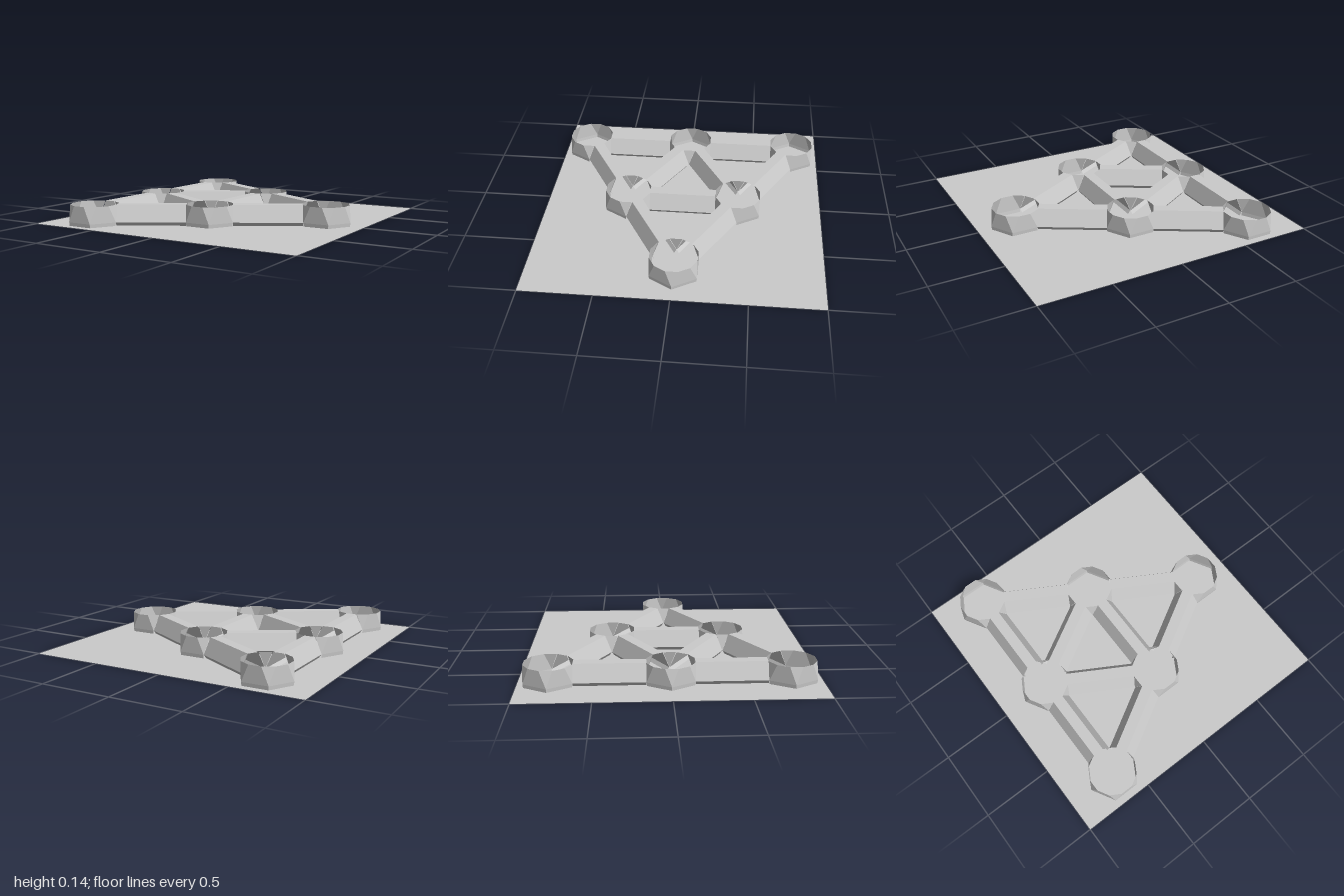
import * as THREE from 'three';

const SPACING = 0.795;                      // distance between neighbouring hubs
const TOP = 0.14, WAIST = 0.025;            // rim height and height of the widest line
const R_TOP = 0.166, R_LOW = 0.184;         // twelve-sided rim, six-sided foot
const material = new THREE.MeshStandardMaterial({
  color: 0xcccccc, flatShading: true, side: THREE.DoubleSide,
});

// Flat-shaded mesh from convex polygons given as lists of corners
function facets(name, polygons) {
  const points = [];
  for (const p of polygons) {
    for (let i = 1; i < p.length - 1; i++) points.push(p[0], p[i], p[i + 1]);
  }
  const geometry = new THREE.BufferGeometry().setFromPoints(points);
  geometry.computeVertexNormals();
  const mesh = new THREE.Mesh(geometry, material);
  mesh.name = name;
  return mesh;
}

function polar(radius, degrees, y) {
  const a = THREE.MathUtils.degToRad(degrees);
  return new THREE.Vector3(radius * Math.cos(a), y, radius * Math.sin(a));
}

// Open-topped hub: hexagonal foot rising to a twelve-sided rim, open where beams join
function makeHub(openSides) {
  const polygons = [];
  for (let k = 0; k < 6; k++) {
    const a = k * 60;
    polygons.push([polar(R_LOW, a, WAIST), polar(R_TOP, a - 15, TOP), polar(R_TOP, a + 15, TOP)]);
    if (openSides.has(k)) continue;
    polygons.push([polar(R_LOW, a, WAIST), polar(R_TOP, a + 15, TOP),
      polar(R_TOP, a + 45, TOP), polar(R_LOW, a + 60, WAIST)]);
    polygons.push([polar(R_LOW - 0.003, a, 0), polar(R_LOW, a, WAIST),
      polar(R_LOW, a + 60, WAIST), polar(R_LOW - 0.003, a + 60, 0)]);
  }
  return facets('hub', polygons);
}

// Hollow beam along x with sloping sides and an undercut foot
function makeBeam(length) {
  const profile = [[0.073, 0], [0.09, WAIST], [0.038, TOP], [-0.038, TOP], [-0.09, WAIST], [-0.073, 0]];
  const at = (x, [z, y]) => new THREE.Vector3(x, y, z);
  const h = length / 2;
  const polygons = [];
  for (let i = 0; i < profile.length - 1; i++) {
    const p = profile[i], q = profile[i + 1];
    polygons.push([at(-h, p), at(h, p), at(h, q), at(-h, q)]);
  }
  return facets('beam', polygons);
}

export function createModel() {
  const model = new THREE.Group();
  model.name = 'triangularFrame';

  // Thin square ground sheet
  const sheet = new THREE.Mesh(new THREE.PlaneGeometry(2, 2).rotateX(-Math.PI / 2), material);
  sheet.name = 'baseSheet';
  model.add(sheet);

  // Hub centres in rows of three, two and one
  const centres = [];
  for (let row = 0; row < 3; row++) {
    for (let i = 0; i < 3 - row; i++) {
      centres.push(new THREE.Vector3(
        -0.653 + row * SPACING * Math.sqrt(3) / 2, 0, (i - (2 - row) / 2) * SPACING));
    }
  }

  // A hub at every centre, a beam between every pair of neighbours
  centres.forEach((c, i) => {
    const openSides = new Set();
    centres.forEach((d, j) => {
      if (i === j || c.distanceTo(d) > SPACING * 1.1) return;
      const angle = Math.atan2(d.z - c.z, d.x - c.x);
      openSides.add((Math.floor(THREE.MathUtils.radToDeg(angle) / 60) + 6) % 6);
      if (j < i) return;
      const beam = makeBeam(SPACING - 2 * 0.159);
      beam.position.copy(c).add(d).multiplyScalar(0.5);
      beam.rotation.y = -angle;
      model.add(beam);
    });
    const hub = makeHub(openSides);
    hub.position.copy(c);
    model.add(hub);
  });

  return model;
}
